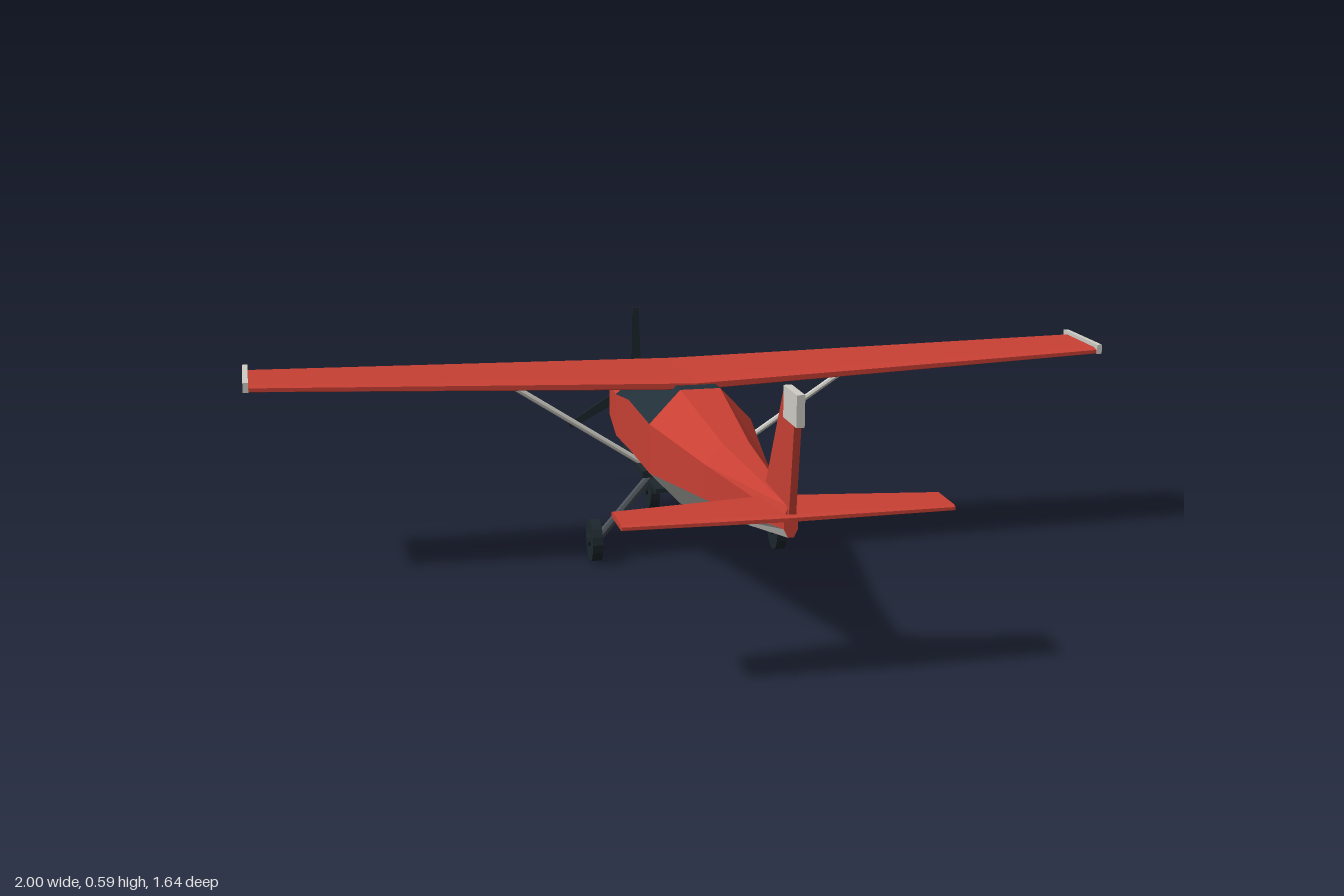
import * as THREE from 'three';

const mat = (name, color) => Object.assign(new THREE.MeshStandardMaterial({ color, flatShading: true }), { name });
const red = mat('red paint', 0xc94034);
const pale = mat('pale grey paint', 0xcfcdc6);
const glass = mat('dark glass', 0x22303a);
const black = mat('black rubber', 0x1c272d);
const steel = mat('dark steel', 0x4a5157);

const add = (parent, name, geo, material, x = 0, y = 0, z = 0) => {
  const m = new THREE.Mesh(geo, material);
  m.name = name;
  m.position.set(x, y, z);
  parent.add(m);
  return m;
};

const fromTriangles = (pts) => {
  const g = new THREE.BufferGeometry();
  g.setAttribute('position', new THREE.Float32BufferAttribute(pts.flat(), 3));
  g.computeVertexNormals();
  return g;
};

// Skins rings of points ordered from +z to -z, each counter-clockwise seen from +z.
// pick(section, facet) names the bucket a facet goes to.
const loft = (rings, pick = () => 'skin') => {
  const out = {};
  const push = (key, ...p) => (out[key] ??= []).push(...p);
  const n = rings[0].length;
  for (let i = 0; i < rings.length - 1; i++)
    for (let j = 0; j < n; j++) {
      const k = (j + 1) % n, A = rings[i], B = rings[i + 1];
      push(pick(i, j), A[j], B[j], B[k], A[j], B[k], A[k]);
    }
  const first = rings[0], last = rings[rings.length - 1];
  for (let j = 1; j < n - 1; j++) {
    push(pick(0, 2), first[0], first[j], first[j + 1]);
    push(pick(rings.length - 2, 2), last[0], last[j + 1], last[j]);
  }
  return out;
};

// Straight rod between two points
const rod = (parent, name, a, b, r, material) => {
  const p = new THREE.Vector3(...a), q = new THREE.Vector3(...b);
  const m = add(parent, name, new THREE.CylinderGeometry(r, r, p.distanceTo(q), 8), material);
  m.position.copy(p).add(q).multiplyScalar(0.5);
  m.quaternion.setFromUnitVectors(new THREE.Vector3(0, 1, 0), q.sub(p).normalize());
  return m;
};

// Flying surface lofted along x; each station is [x, centreY, thickness, leadingZ, trailingZ]
const aerofoil = [[1, -0.35], [1, 0.2], [0.9, 0.5], [0.08, 0.45], [0, 0.2], [0, -0.3], [0.06, -0.5], [0.94, -0.5]];
const surface = (parent, name, stations, material) => {
  const rings = stations.map(([x, y, t, lead, trail]) =>
    aerofoil.map(([u, v]) => [-(trail + (lead - trail) * u), y + v * t, x]));
  add(parent, name, fromTriangles(loft(rings).skin), material).rotation.y = Math.PI / 2;
};

// Upright plate cut from a side outline of [z, y] points
const plate = (parent, name, outline, t, material) => {
  const shape = new THREE.Shape(outline.map(([z, y]) => new THREE.Vector2(-z, y)));
  const g = new THREE.ExtrudeGeometry(shape, { depth: t, bevelEnabled: false }).translate(0, 0, -t / 2);
  add(parent, name, g, material).rotation.y = Math.PI / 2;
};

const wheel = (parent, name, x, z) => {
  const g = new THREE.Group();
  g.name = name;
  g.position.set(x, 0.05, z);
  parent.add(g);
  add(g, 'tyre', new THREE.CylinderGeometry(0.049, 0.049, 0.024, 16), black).rotation.z = Math.PI / 2;
  add(g, 'hub', new THREE.CylinderGeometry(0.014, 0.014, 0.034, 8), black).rotation.z = Math.PI / 2;
};

export function createModel() {
  const plane = new THREE.Group();
  plane.name = 'lightAircraft';

  // Fuselage stations: z, half width, half flat width, bottom, lower line, upper line, top
  const stations = [
    [0.76, 0.014, 0.006, 0.307, 0.324, 0.346, 0.368],
    [0.32, 0.066, 0.028, 0.228, 0.268, 0.343, 0.386],
    [-0.02, 0.117, 0.046, 0.166, 0.241, 0.355, 0.43],
    [-0.27, 0.117, 0.046, 0.163, 0.238, 0.357, 0.43],
    [-0.445, 0.116, 0.046, 0.163, 0.229, 0.333, 0.395],
    [-0.635, 0.098, 0.04, 0.183, 0.239, 0.32, 0.377],
    [-0.745, 0.04, 0.018, 0.237, 0.255, 0.296, 0.32],
  ];
  const rings = stations.map(([z, w, a, y0, y1, y2, y3]) =>
    [[-a, y0], [a, y0], [w, y1], [w, y2], [a, y3], [-a, y3], [-w, y2], [-w, y1]].map(([x, y]) => [x, y, z]));
  const hull = loft(rings, (i, j) => {
    if (j < 2 || j === 7) return 'belly';
    return (i === 2 || i === 3) && j >= 3 && j <= 5 ? 'windows' : 'body';
  });
  const paint = { body: red, belly: pale, windows: glass };
  for (const key in hull) add(plane, key, fromTriangles(hull[key]), paint[key]);

  // Wing with slight dihedral, and tail plane
  surface(plane, 'wing', [
    [0.99, 0.457, 0.016, -0.305, -0.105],
    [0, 0.428, 0.026, -0.36, -0.065],
    [-0.99, 0.457, 0.016, -0.305, -0.105],
  ], red);
  surface(plane, 'tailPlane', [
    [0.325, 0.346, 0.012, 0.655, 0.765],
    [0, 0.346, 0.015, 0.605, 0.773],
    [-0.325, 0.346, 0.012, 0.655, 0.765],
  ], red);

  // Fin and its pale tip
  plate(plane, 'fin', [[0.59, 0.365], [0.69, 0.533], [0.80, 0.533], [0.77, 0.355]].map(
    ([z, y], i) => (i === 1 ? [z - 0.0, y] : [z, y])), 0.014, red);
  plate(plane, 'finLeadingEdge', [[0.69, 0.533], [0.727, 0.594], [0.727, 0.533]], 0.014, red);
  plate(plane, 'finTip', [[0.725, 0.533], [0.725, 0.595], [0.82, 0.595], [0.818, 0.533]], 0.016, pale);

  // Nose cone
  add(plane, 'spinner', new THREE.ConeGeometry(0.027, 0.08, 8), pale, 0, 0.28, -0.778).rotation.x = -Math.PI / 2;

  // Three-bladed propeller
  const propeller = new THREE.Group();
  propeller.name = 'propeller';
  propeller.position.set(0, 0.28, -0.79);
  plane.add(propeller);
  const bladeShape = new THREE.Shape([[-0.007, 0], [0.007, 0], [0.013, 0.06], [0.008, 0.205], [-0.008, 0.205], [-0.013, 0.06]]
    .map((p) => new THREE.Vector2(...p)));
  const bladeGeo = new THREE.ExtrudeGeometry(bladeShape, { depth: 0.006, bevelEnabled: false }).translate(0, 0, -0.003);
  for (let i = 0; i < 3; i++) add(propeller, 'blade', bladeGeo, black).rotation.z = (i * Math.PI * 2) / 3;

  for (const s of [1, -1]) {
    add(plane, 'wingTip', new THREE.BoxGeometry(0.012, 0.022, 0.205), pale, s * 0.994, 0.462, -0.205);
    rod(plane, 'wingStrut', [s * 0.42, 0.427, -0.23], [s * 0.09, 0.21, -0.23], 0.007, pale);
    rod(plane, 'mainLeg', [s * 0.215, 0.05, -0.165], [s * 0.08, 0.205, -0.165], 0.01, steel);
    wheel(plane, 'mainWheel', s * 0.22, -0.165);
    // Belly rail and short pads along the lower hull
    add(plane, 'bellyRail', new THREE.BoxGeometry(0.03, 0.01, 0.42), black, s * 0.078, 0.185, -0.28);
    for (const z of [-0.19, -0.362])
      add(plane, 'bellyPad', new THREE.BoxGeometry(0.03, 0.016, 0.085), black, s * 0.094, 0.205, z);
  }

  // Nose gear
  rod(plane, 'noseLeg', [0, 0.05, -0.585], [0, 0.2, -0.585], 0.01, steel);
  wheel(plane, 'noseWheel', 0, -0.585);
  add(plane, 'noseGearMount', new THREE.BoxGeometry(0.03, 0.014, 0.08), pale, 0, 0.184, -0.612);

  return plane;
}
